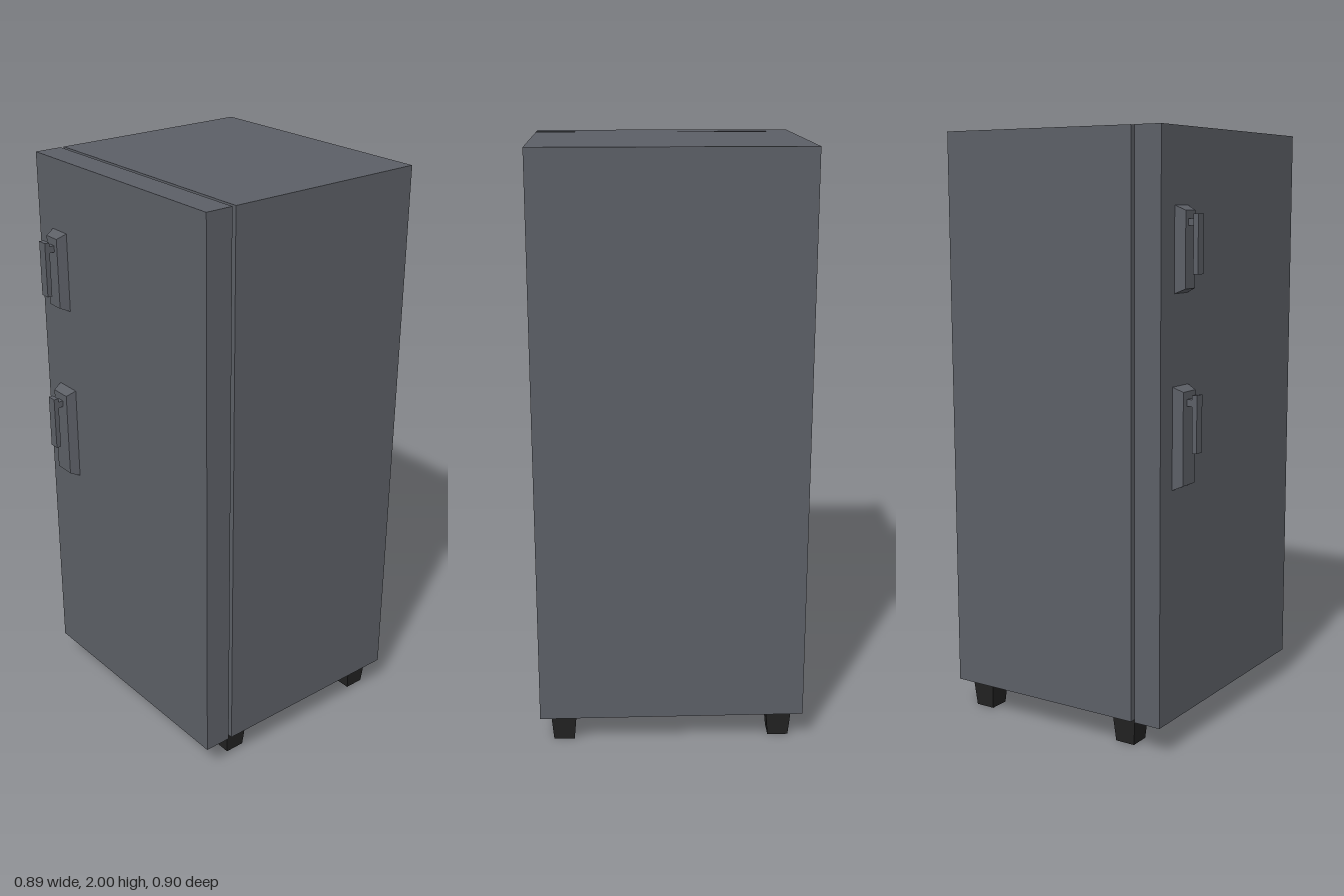
import * as THREE from 'three';

const W = 0.447, BOTTOM = 0.1, TOP = 2, BACK = -0.45, FRONT = 0.38;
const GAP_BACK = 0.272, GAP_FRONT = 0.285, GAP_DEPTH = 0.03;

const grey = new THREE.MeshStandardMaterial({ color: 0x5c5f66, side: THREE.DoubleSide });
grey.name = 'cabinetGrey';
const black = new THREE.MeshStandardMaterial({ color: 0x222222, side: THREE.DoubleSide });
black.name = 'rubberBlack';

function add(parent, name, geometry, material, x = 0, y = 0, z = 0) {
  const mesh = new THREE.Mesh(geometry, material);
  mesh.name = name;
  mesh.position.set(x, y, z);
  parent.add(mesh);
  return mesh;
}

// Side-top-side shell, open below, swept through [inset, z] stations
function shell(stations) {
  const positions = [];
  const rows = stations.map(([i, z]) => [
    [-W + i, BOTTOM, z], [-W + i, TOP - i, z], [W - i, TOP - i, z], [W - i, BOTTOM, z],
  ]);
  for (let s = 0; s < rows.length - 1; s++) {
    for (let k = 0; k < 3; k++) {
      const a = rows[s][k], b = rows[s][k + 1], c = rows[s + 1][k], d = rows[s + 1][k + 1];
      positions.push(...a, ...c, ...b, ...b, ...c, ...d);
    }
  }
  const geometry = new THREE.BufferGeometry();
  geometry.setAttribute('position', new THREE.Float32BufferAttribute(positions, 3));
  geometry.computeVertexNormals();
  return geometry;
}

// Box whose +axis end has its own size in the other two directions
function taperedBox(w, h, d, axis, scaleA, scaleB) {
  const geometry = new THREE.BoxGeometry(w, h, d).toNonIndexed();
  const p = geometry.attributes.position;
  for (let i = 0; i < p.count; i++) {
    const end = axis === 'y' ? p.getY(i) : p.getZ(i);
    if (end < 0) continue;
    p.setX(i, p.getX(i) * scaleA);
    if (axis === 'y') p.setZ(i, p.getZ(i) * scaleB);
    else p.setY(i, p.getY(i) * scaleB);
  }
  geometry.computeVertexNormals();
  return geometry;
}

// Bevelled backplate with a short stem and a hanging grip
function handle(name, width, bottom, top, gripBottom, gripTop) {
  const group = new THREE.Group();
  group.name = name;
  group.position.x = -0.327;
  const h = top - bottom;
  add(group, 'handlePlate', taperedBox(width, h, 0.033, 'z', (width - 0.021) / width, (h - 0.03) / h),
    grey, 0, (top + bottom) / 2, FRONT + 0.0165);
  add(group, 'handleStem', new THREE.BoxGeometry(0.027, 0.022, 0.022), grey, 0, gripTop - 0.026, 0.423);
  add(group, 'handleGrip', new THREE.BoxGeometry(0.034, gripTop - gripBottom, 0.017), grey,
    0, (gripTop + gripBottom) / 2, 0.4415);
  return group;
}

export function createModel() {
  const model = new THREE.Group();
  model.name = 'refrigerator';
  const panel = new THREE.PlaneGeometry(2 * W, TOP - BOTTOM);
  const midY = (TOP + BOTTOM) / 2;

  // Cabinet, recessed seal and door
  add(model, 'cabinetShell', shell([[0, BACK], [0, GAP_BACK], [GAP_DEPTH, GAP_BACK]]), grey);
  add(model, 'cabinetBack', panel, grey, 0, midY, BACK).rotation.y = Math.PI;
  add(model, 'doorSeal', shell([[GAP_DEPTH, GAP_BACK], [GAP_DEPTH, GAP_FRONT]]), black);
  add(model, 'doorRim', shell([[GAP_DEPTH, GAP_FRONT], [0, GAP_FRONT], [0, FRONT]]), grey);
  add(model, 'doorFront', panel, grey, 0, midY, FRONT);

  // Door handles
  model.add(handle('upperHandle', 0.08, 1.49, 1.76, 1.55, 1.735));
  model.add(handle('lowerHandle', 0.096, 0.87, 1.2, 0.99, 1.175));

  // Tapered feet, wider at the top
  const footGeometry = taperedBox(0.07, BOTTOM, 0.07, 'y', 1.25, 1.25);
  for (const x of [-0.368, 0.368]) {
    for (const z of [0.22, -0.373]) {
      add(model, 'foot', footGeometry, black, x, BOTTOM / 2, z);
    }
  }
  return model;
}
